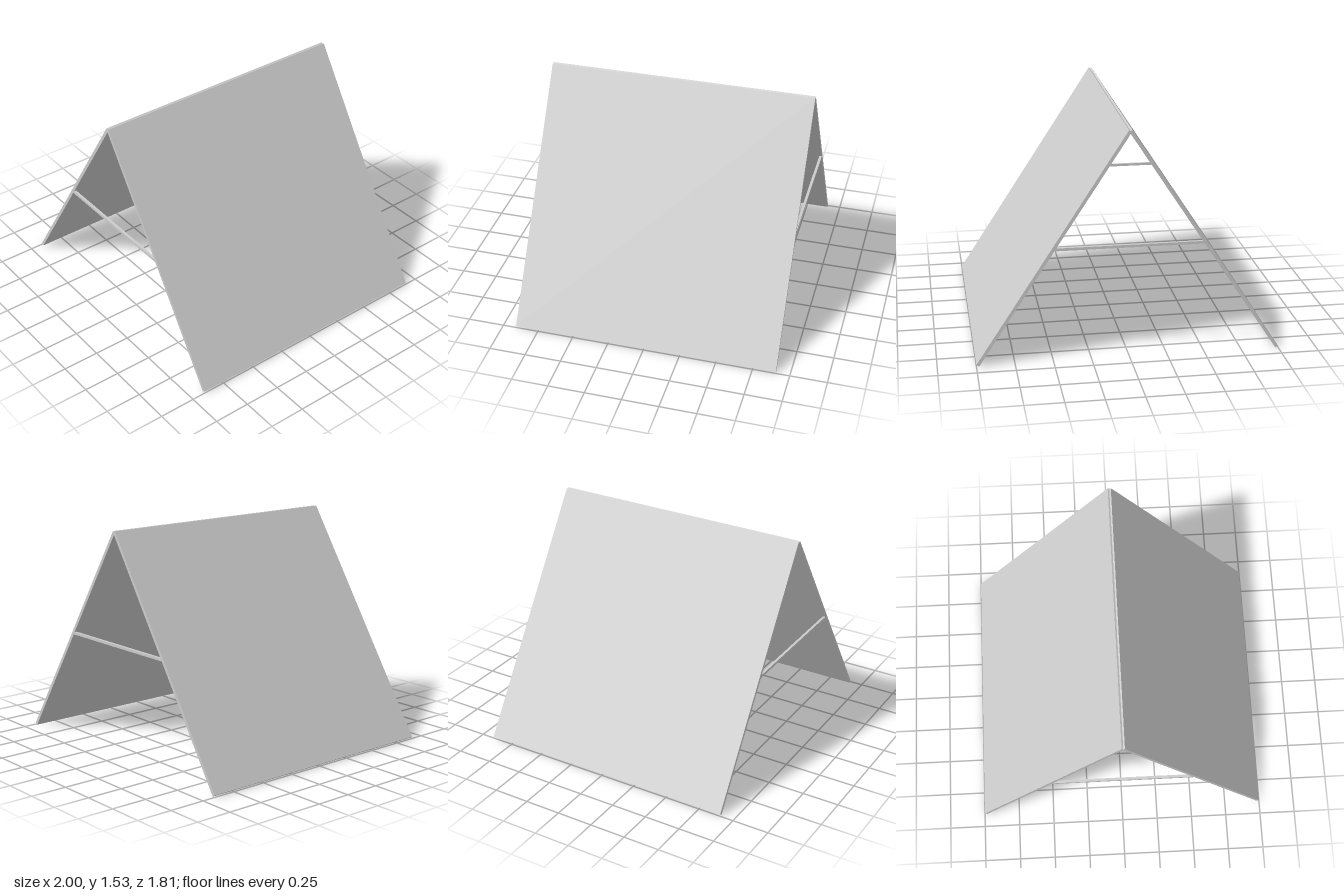
import * as THREE from 'three';

export function createModel() {
  const model = new THREE.Group();
  const material = new THREE.MeshStandardMaterial({ color: 0xcccccc, flatShading: true });
  const depth = 1.814, length = 1.815, thickness = 0.022;
  const lean = Math.atan2(0.545, 0.838); // angle from vertical

  const addBox = (name, size, position, tilt = 0) => {
    const mesh = new THREE.Mesh(new THREE.BoxGeometry(...size), material);
    mesh.name = name;
    mesh.position.set(...position);
    mesh.rotation.z = tilt;
    model.add(mesh);
  };

  // Two leaning boards that meet at the ridge
  for (const side of [-1, 1]) {
    addBox(side > 0 ? 'leftPanel' : 'rightPanel',
      [thickness, length, depth], [side * 0.496, 0.767, 0], side * lean);
  }

  // Horizontal braces flush with the front and back edges
  const brace = 0.018;
  for (const end of [-1, 1]) {
    addBox(end > 0 ? 'frontBrace' : 'backBrace',
      [0.984, brace, brace], [0, 0.771, end * (depth - brace) / 2]);
  }
  return model;
}
